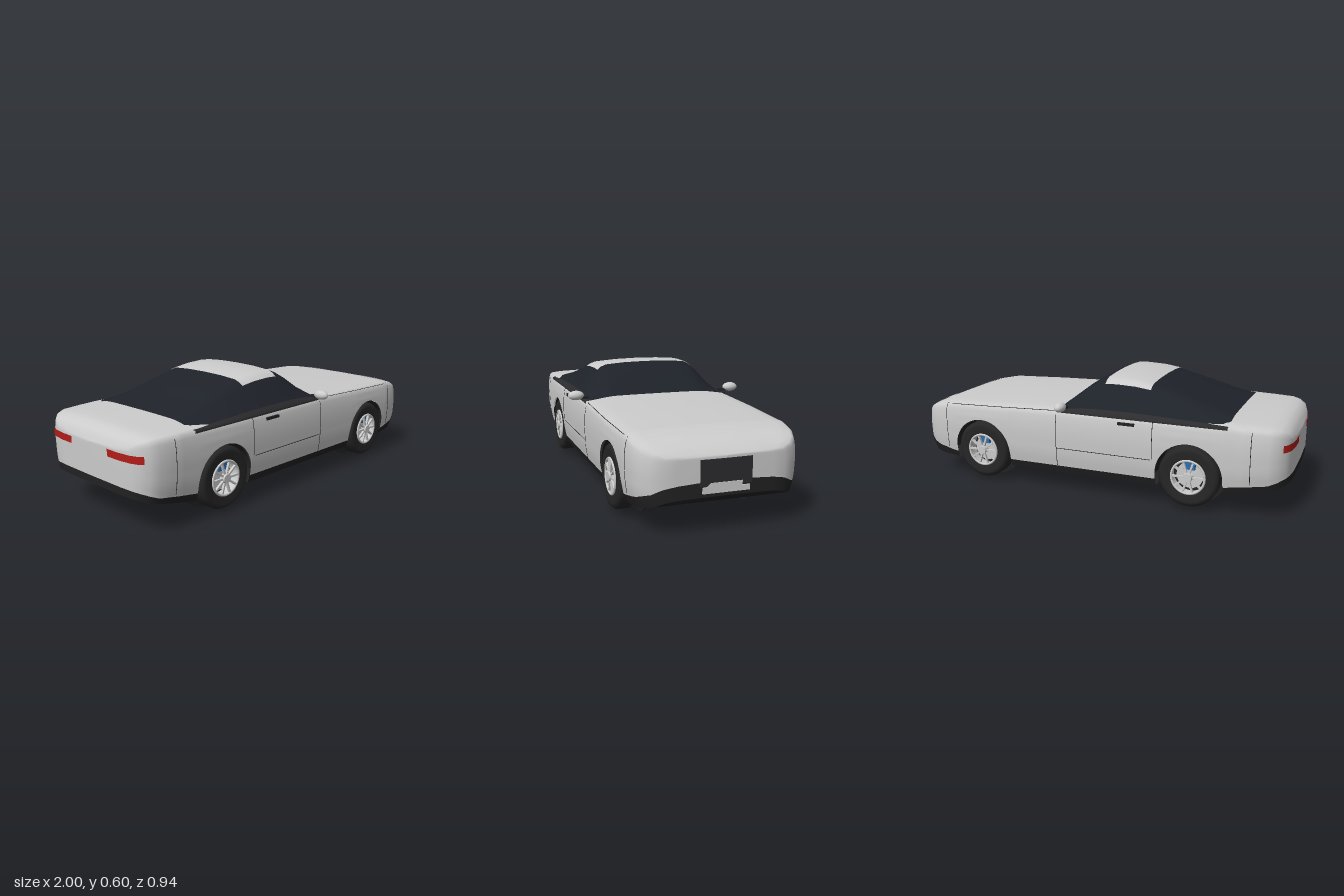
import * as THREE from 'three';

// Piecewise-linear lookup in a table of [key, value]
function lerpTable(table, x) {
  if (x <= table[0][0]) return table[0][1];
  for (let i = 1; i < table.length; i++) {
    const [x0, y0] = table[i - 1], [x1, y1] = table[i];
    if (x <= x1) return y0 + (y1 - y0) * (x - x0) / (x1 - x0);
  }
  return table[table.length - 1][1];
}

const mat = (color) => new THREE.MeshStandardMaterial({ color, side: THREE.DoubleSide });
const paint = mat(0xcccccc), dark = mat(0x222222), glass = mat(0x1e2229), belt = mat(0x2c2c2e);
const lampMat = mat(0xeeeeee), red = mat(0xb01c18), blue = mat(0x2a6fb5), rubber = mat(0x262626);

// Body tables along the length (nose towards +x)
const WIDTH = [[-0.998, 0], [-0.994, 0.22], [-0.985, 0.285], [-0.97, 0.325], [-0.94, 0.36], [-0.9, 0.38],
  [-0.8, 0.39], [-0.5, 0.397], [0.5, 0.397], [0.8, 0.39], [0.88, 0.38], [0.93, 0.36], [0.965, 0.328],
  [0.985, 0.282], [0.994, 0.22], [0.998, 0]];
const TOP = [[-0.998, 0.372], [-0.985, 0.395], [-0.97, 0.422], [-0.94, 0.438], [-0.9, 0.446], [-0.7, 0.453],
  [0.15, 0.446], [0.5, 0.436], [0.8, 0.424], [0.88, 0.408], [0.93, 0.388], [0.965, 0.368], [0.998, 0.338]];
const BOTTOM = [[-0.998, 0.175], [-0.94, 0.15], [-0.7, 0.1], [0.7, 0.1], [0.9, 0.115], [0.965, 0.135], [0.998, 0.165]];
const TRIM = [[-0.998, 0.21], [-0.9, 0.17], [-0.7, 0.14], [0.75, 0.135], [0.9, 0.165], [0.97, 0.19], [0.994, 0.222], [0.998, 0.235]];
// Cross-section: height fraction to half-width fraction
const SECTION = [[0, 0.93], [0.12, 0.965], [0.3, 0.99], [0.58, 1], [0.75, 0.995], [0.87, 0.98], [0.93, 0.965],
  [0.96, 0.93], [0.98, 0.8], [0.995, 0.4], [1, 0]];
const DECK = SECTION.slice(4).map(([v, f]) => [f, v]).reverse();

const WHEEL_X = [-0.53, 0.6], WHEEL_Y = 0.17, ARCH_R = 0.165;
const archY = (x) => {
  const c = WHEEL_X.find((w) => Math.abs(x - w) <= ARCH_R + 1e-6);
  return c === undefined ? 0 : WHEEL_Y + Math.sqrt(Math.max(0, ARCH_R ** 2 - (x - c) ** 2));
};
const heightAt = (x, v) => lerpTable(BOTTOM, x) + v * (lerpTable(TOP, x) - lerpTable(BOTTOM, x));
const sideZ = (x, y) => lerpTable(WIDTH, x) * lerpTable(SECTION, (y - heightAt(x, 0)) / (heightAt(x, 1) - heightAt(x, 0)));
const deckY = (x, z) => heightAt(x, lerpTable(DECK, Math.abs(z) / lerpTable(WIDTH, x)));

// Columns along x, with closer ones around the arches and the ends
function bodyColumns() {
  const xs = [...WIDTH, ...TOP].map(([x]) => x);
  for (let i = 0; i <= 30; i++) xs.push(-0.9 + i * 0.06);
  for (const c of WHEEL_X) {
    xs.push(c - ARCH_R - 0.0005, c + ARCH_R + 0.0005);
    for (let i = 0; i <= 24; i++) xs.push(c - ARCH_R * Math.cos(Math.PI * i / 24));
  }
  return [...new Set(xs)].sort((a, b) => a - b);
}

// Smooth skin through rows of [x, y, z] points
function loft(rows) {
  const n = rows[0].length, idx = [];
  for (let i = 0; i < rows.length - 1; i++) for (let j = 0; j < n - 1; j++) {
    const a = i * n + j, b = a + n;
    idx.push(a, b, a + 1, b, b + 1, a + 1);
  }
  const g = new THREE.BufferGeometry();
  g.setAttribute('position', new THREE.Float32BufferAttribute(rows.flat(2), 3));
  g.setIndex(idx);
  g.computeVertexNormals();
  return g;
}
const mirrored = (half) => [...half, ...half.slice(0, -1).reverse().map(([x, y, z]) => [x, y, -z])];

export function createModel() {
  const car = new THREE.Group();
  car.name = 'car';
  const add = (parent, name, geo, material, x = 0, y = 0, z = 0) => {
    const m = new THREE.Mesh(geo, material);
    m.name = name;
    m.position.set(x, y, z);
    parent.add(m);
    return m;
  };
  const xs = bodyColumns();

  // Painted shell, open over the wheels
  add(car, 'bodyShell', loft(xs.map((x) => {
    const y0 = Math.max(lerpTable(TRIM, x), archY(x)), y1 = heightAt(x, 0.87), half = [];
    for (let i = 0; i <= 8; i++) {
      const y = y0 + (y1 - y0) * i / 8;
      half.push([x, y, sideZ(x, y)]);
    }
    for (const [v, f] of SECTION.slice(6)) half.push([x, heightAt(x, v), lerpTable(WIDTH, x) * f]);
    return mirrored(half);
  })), paint);

  // Dark skirt along both sides and round the ends, and the floor
  for (const s of [1, -1]) {
    add(car, 'lowerSkirt', loft(xs.map((x) => {
      const y0 = Math.max(heightAt(x, 0), archY(x)), y1 = Math.max(lerpTable(TRIM, x), archY(x));
      const row = [0, 0.5, 1].map((t) => y0 + (y1 - y0) * t).map((y) => [x, y, s * sideZ(x, y)]);
      return s > 0 ? row : row.reverse();
    })), dark);
  }
  add(car, 'floor', loft(xs.map((x) => {
    const y = heightAt(x, 0), z = archY(x) ? 0.26 : sideZ(x, y);
    return [[x, y, -z], [x, y, z]];
  })), dark);

  // Cabin: belt trim below, dark glass and roof above
  const CABIN_TOP = [[-0.71, 0.46], [-0.6, 0.49], [-0.5, 0.522], [-0.4, 0.552], [-0.31, 0.576], [-0.22, 0.591],
    [-0.12, 0.596], [-0.06, 0.592], [-0.02, 0.58], [0.03, 0.55], [0.09, 0.502], [0.15, 0.453]];
  const CABIN_SECTION = [[0, 1], [0.12, 0.985], [0.22, 0.94], [0.25, 0.87], [0.28, 0.72], [0.33, 0.36], [0.365, 0.12], [0.386, 0]];
  const cabinY = (x, k) => 0.432 + k * (lerpTable(CABIN_TOP, x) - 0.432);
  const cabinHalf = (x) => [[x, 0.42, 0.386],
    ...CABIN_SECTION.slice().reverse().map(([z, k]) => [x, cabinY(x, k), z])];
  const cabinX = CABIN_TOP.map(([x]) => x);
  add(car, 'cabin', loft(cabinX.map((x) => mirrored(cabinHalf(x).slice(2)))), glass);
  for (const s of [1, -1]) {
    add(car, 'beltTrim', loft(cabinX.map((x) => {
      const row = cabinHalf(x).slice(0, 3).map(([a, y, z]) => [a, y, s * z]);
      return s > 0 ? row : row.reverse();
    })), belt);
  }
  const roofX = [-0.3, -0.26, -0.22, -0.17, -0.12, -0.06];
  const roofZ = [0.27, 0.25, 0.22, 0.12, 0];
  add(car, 'roofPanel', loft(roofX.map((x) => mirrored(
    roofZ.map((z) => [x, cabinY(x, lerpTable(CABIN_SECTION, z)) + 0.004, z])))), paint);

  // Nose: grille opening and the stepped plate below it
  add(car, 'grille', new THREE.BoxGeometry(0.012, 0.115, 0.235), belt, 0.994, 0.268, 0);
  const plate = new THREE.Shape([[-0.108, 0.18], [0.107, 0.18], [0.107, 0.204], [0.072, 0.204], [0.072, 0.225],
    [-0.07, 0.225], [-0.09, 0.207], [-0.108, 0.207]].map(([a, b]) => new THREE.Vector2(a, b)));
  add(car, 'frontPlate', new THREE.ExtrudeGeometry(plate, { depth: 0.008, bevelEnabled: false }), paint, 0.994).rotation.y = Math.PI / 2;

  for (const s of [1, -1]) {
    // Headlamps laid on the nose
    const lamp = [];
    for (let i = 0; i <= 6; i++) {
      const u = i / 6, row = [];
      for (let j = 0; j <= 6; j++) {
        const t = j / 6;
        const x = (0.865 + 0.1 * u) * (1 - t) + (0.9 + 0.083 * u) * t;
        const z = (0.265 + 0.02 * u) * (1 - t) + (0.115 + 0.035 * u) * t;
        row.push([x, deckY(x, z) + 0.004, s * z]);
      }
      lamp.push(s > 0 ? row : row.reverse());
    }
    add(car, 'headlamp', loft(lamp), lampMat);

    // Tail lamps wrapped round the rear corners
    add(car, 'tailLamp', loft([-0.9955, -0.994, -0.985, -0.97, -0.955].map((x) => {
      const row = [0.33, 0.347, 0.364].map((y) => [x - 0.003, y, s * (sideZ(x, y) + 0.003)]);
      return s > 0 ? row : row.reverse();
    })), red);

    // Mirrors and door handles
    add(car, 'mirrorHousing', new THREE.SphereGeometry(1, 24, 16), paint, 0.115, 0.459, s * 0.428).scale.set(0.026, 0.024, 0.041);
    add(car, 'mirrorStalk', new THREE.BoxGeometry(0.02, 0.012, 0.04), dark, 0.115, 0.446, s * 0.382);
    add(car, 'doorHandle', new THREE.BoxGeometry(0.085, 0.013, 0.012), dark, -0.217, 0.399, s * 0.393);

    // Panel gaps
    const seam = (x0, y0, x1, y1) => {
      const pts = [];
      for (let i = 0; i <= 12; i++) {
        const x = x0 + (x1 - x0) * i / 12, y = y0 + (y1 - y0) * i / 12;
        pts.push(new THREE.Vector3(x, y, s * sideZ(x, y)));
      }
      add(car, 'panelGap', new THREE.TubeGeometry(new THREE.CatmullRomCurve3(pts), 24, 0.0016, 5), dark);
    };
    seam(-0.35, 0.24, -0.35, 0.42);
    seam(-0.34, 0.235, 0.16, 0.235);
    seam(0.16, 0.14, 0.16, 0.43);
    seam(-0.82, 0.17, -0.82, 0.42);
    seam(0.82, 0.16, 0.82, 0.4);
    seam(0.16, 0.426, 0.82, 0.402);

    // Wheels and wheel wells
    for (const x of WHEEL_X) {
      const well = add(car, 'wheelWell', new THREE.CylinderGeometry(ARCH_R, ARCH_R, 0.125, 32, 1, true, Math.PI / 2, Math.PI), dark, x, WHEEL_Y, s * 0.3225);
      well.rotation.x = Math.PI / 2;
      add(car, 'wheelWellDisc', new THREE.CylinderGeometry(0.17, 0.17, 0.006, 40), dark, x, WHEEL_Y, s * 0.26).rotation.x = Math.PI / 2;
      const wheel = makeWheel(add);
      wheel.position.set(x, WHEEL_Y, s * 0.345);
      if (s < 0) wheel.rotation.y = Math.PI;
      car.add(wheel);
    }
  }
  return car;
}

// Wheel facing +z
function makeWheel(add) {
  const wheel = new THREE.Group();
  wheel.name = 'wheel';
  const round = (name, geo, m, z = 0) => { add(wheel, name, geo, m, 0, 0, z).rotation.x = Math.PI / 2; };
  const tyre = [[0.086, -0.04], [0.125, -0.046], [0.14, -0.042], [0.15, -0.028], [0.15, 0.028], [0.14, 0.042],
    [0.125, 0.046], [0.086, 0.04]].map(([r, h]) => new THREE.Vector2(r, h));
  round('tyre', new THREE.LatheGeometry(tyre, 40), rubber);
  round('rimBarrel', new THREE.CylinderGeometry(0.086, 0.086, 0.08, 40, 1, true), paint);
  round('wheelBack', new THREE.CylinderGeometry(0.086, 0.086, 0.004, 40), rubber, -0.02);
  round('brakeDisc', new THREE.CylinderGeometry(0.066, 0.066, 0.008, 32), paint, 0);
  add(wheel, 'rimLip', new THREE.TorusGeometry(0.082, 0.006, 8, 40), paint, 0, 0, 0.042);
  add(wheel, 'caliper', new THREE.BoxGeometry(0.055, 0.04, 0.022), blue, 0, 0.052, 0.012);
  round('hub', new THREE.CylinderGeometry(0.021, 0.026, 0.024, 24), paint, 0.042);
  for (let i = 0; i < 10; i++) {
    const spoke = new THREE.Group();
    spoke.name = 'spoke';
    spoke.rotation.z = (i + 0.5) * Math.PI / 5;
    add(spoke, 'spokeBar', new THREE.BoxGeometry(0.009, 0.064, 0.012), paint, 0, 0.05, 0.04);
    wheel.add(spoke);
  }
  return wheel;
}
